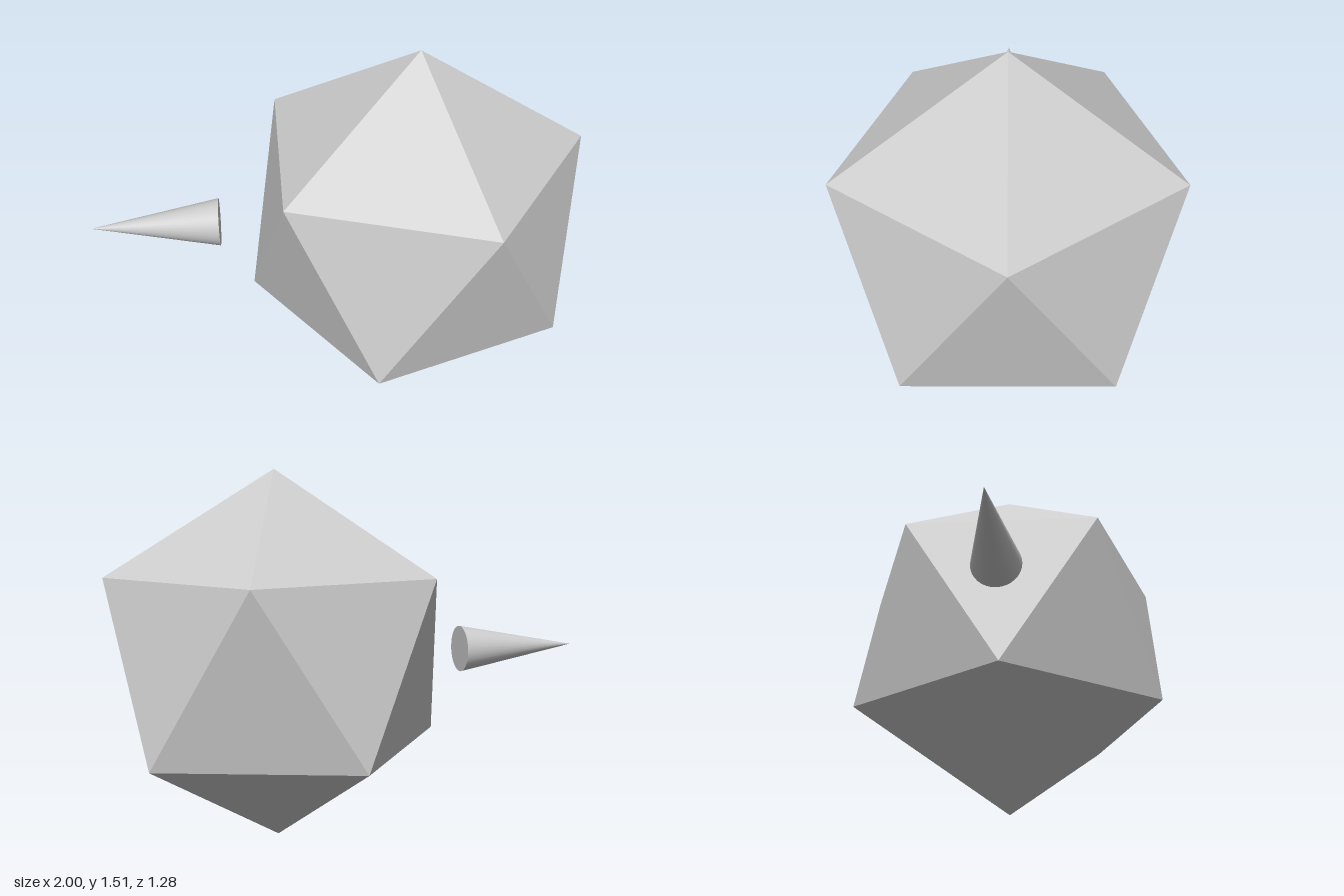
import * as THREE from 'three';

const RADIUS = 0.753;
const CENTER_X = 0.325;
const CONE_TIP_X = -1;
const CONE_BASE_X = -0.475;
const CONE_RADIUS = 0.098;

export function createModel() {
  const model = new THREE.Group();
  model.name = 'icosahedronWithCone';

  // Faceted body, tilted so that it stands on one vertex
  const golden = (1 + Math.sqrt(5)) / 2;
  const bodyGeometry = new THREE.IcosahedronGeometry(RADIUS, 0);
  bodyGeometry.rotateZ(-Math.atan(1 / golden));
  const body = new THREE.Mesh(
    bodyGeometry,
    new THREE.MeshStandardMaterial({ color: 0xcccccc, flatShading: true })
  );
  body.name = 'icosahedronBody';
  body.position.set(CENTER_X, RADIUS, 0);
  model.add(body);

  // Smooth detached cone pointing away from the body along -x
  const length = CONE_BASE_X - CONE_TIP_X;
  const coneGeometry = new THREE.ConeGeometry(CONE_RADIUS, length, 32);
  coneGeometry.rotateZ(Math.PI / 2);
  const cone = new THREE.Mesh(
    coneGeometry,
    new THREE.MeshStandardMaterial({ color: 0xcccccc })
  );
  cone.name = 'pointerCone';
  cone.position.set((CONE_TIP_X + CONE_BASE_X) / 2, RADIUS, 0);
  model.add(cone);

  return model;
}
